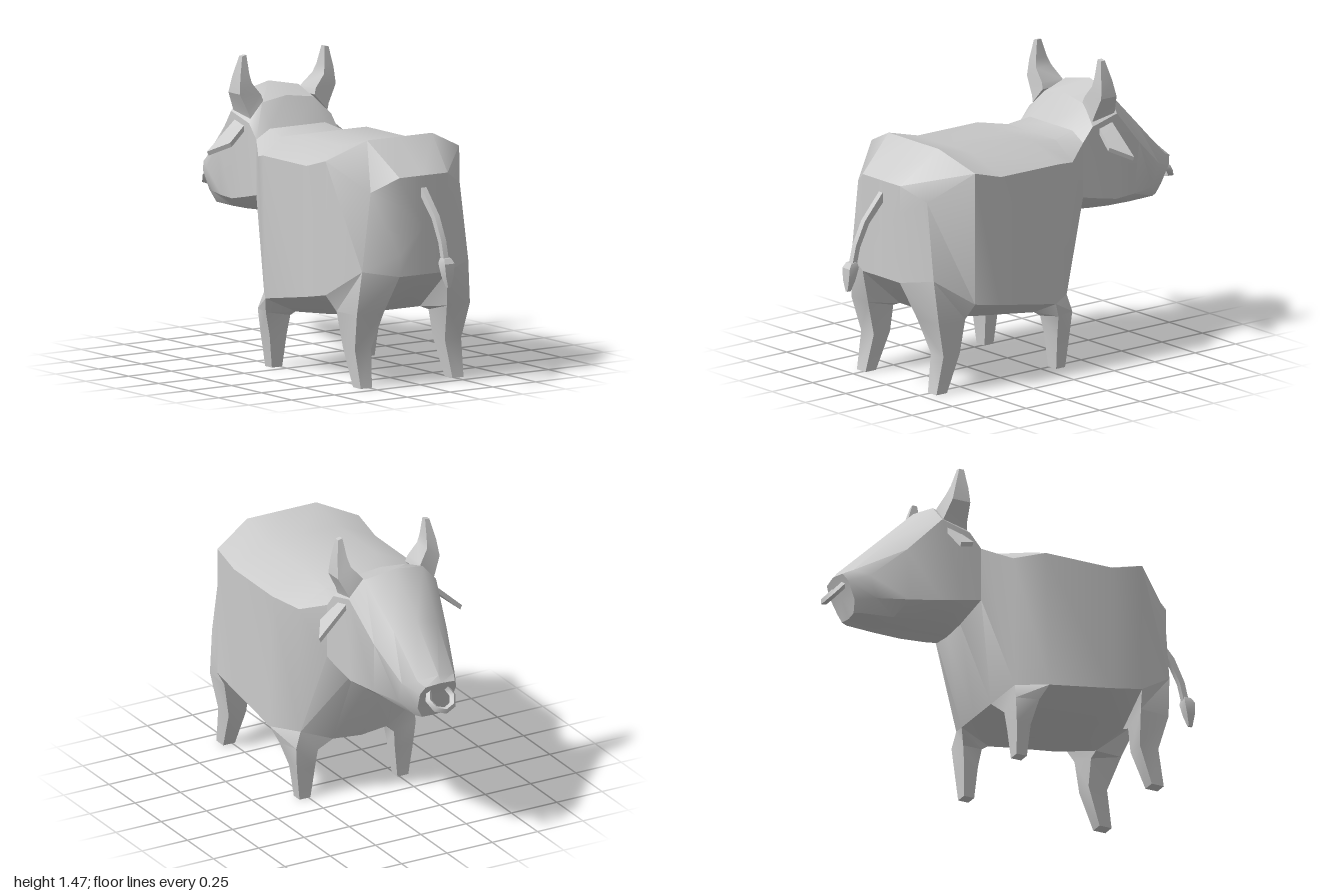
import * as THREE from 'three';
import { toCreasedNormals } from 'three/addons/utils/BufferGeometryUtils.js';

const material = new THREE.MeshStandardMaterial({ color: 0xcccccc });

// Skin a list of closed rings (equal point counts) and cap both ends.
function loft(name, rings, crease = 0.6) {
  const tris = [];
  const n = rings[0].length;
  for (let i = 0; i + 1 < rings.length; i++) {
    for (let j = 0; j < n; j++) {
      const k = (j + 1) % n;
      const [a, b, c, d] = [rings[i][j], rings[i][k], rings[i + 1][k], rings[i + 1][j]];
      tris.push([a, b, c], [a, c, d]);
    }
  }
  const centre = (r) => [0, 1, 2].map((k) => r.reduce((s, p) => s + p[k], 0) / n);
  const first = rings[0], last = rings[rings.length - 1];
  const c0 = centre(first), c1 = centre(last);
  for (let j = 0; j < n; j++) {
    const k = (j + 1) % n;
    tris.push([c0, first[k], first[j]], [c1, last[j], last[k]]);
  }
  // Turn the faces outward whichever way the rings run.
  let volume = 0;
  const [u, v, w] = [new THREE.Vector3(), new THREE.Vector3(), new THREE.Vector3()];
  for (const [a, b, c] of tris) {
    volume += u.fromArray(a).dot(v.fromArray(b).cross(w.fromArray(c)));
  }
  if (volume < 0) tris.forEach((t) => t.reverse());
  const geometry = new THREE.BufferGeometry();
  geometry.setAttribute('position', new THREE.Float32BufferAttribute(tris.flat(2), 3));
  const mesh = new THREE.Mesh(toCreasedNormals(geometry, crease), material);
  mesh.name = name;
  return mesh;
}

const flip = ([x, y, z]) => [-x, y, z];

// Complete a half outline that runs from the top centre to the bottom centre.
const whole = (half) => [...half, ...half.slice(1, -1).reverse().map(flip)];

// Rectangular ring in the horizontal plane.
const rect = (x0, x1, y, z0, z1) => [[x1, y, z0], [x1, y, z1], [x0, y, z1], [x0, y, z0]];

export function createModel() {
  const model = new THREE.Group();
  const addPair = (name, rings, crease) => {
    model.add(loft('left' + name, rings, crease));
    model.add(loft('right' + name, rings.map((r) => r.map(flip)), crease));
  };

  // Half outlines: top centre, top edge, shoulder, lower flank, belly edge, belly centre
  const rump = [[0, 1.02, 0.78], [0.14, 1.02, 0.78], [0.26, 0.95, 0.71],
    [0.31, 0.57, 0.71], [0.14, 0.54, 0.78], [0, 0.54, 0.78]];
  const hip = [[0, 1.18, 0.58], [0.19, 1.18, 0.58], [0.39, 1.09, 0.52],
    [0.39, 0.44, 0.52], [0.14, 0.34, 0.55], [0, 0.34, 0.55]];
  const middle = [[0, 1.13, 0.39], [0.2, 1.13, 0.39], [0.39, 1.045, 0.36],
    [0.39, 0.41, 0.36], [0.18, 0.31, 0.36], [0, 0.3, 0.36]];
  const shoulder = [[0, 1.13, 0.02], [0.2, 1.13, 0.02], [0.39, 1.045, 0],
    [0.39, 0.355, 0.02], [0.2, 0.27, 0], [0, 0.24, 0.02]];
  const chest = [[0, 1.095, -0.15], [0.18, 1.095, -0.15], [0.32, 1.015, -0.14],
    [0.3, 0.36, -0.12], [0.15, 0.31, -0.17], [0, 0.3, -0.18]];
  const neck = [[0, 1.115, -0.27], [0.16, 1.115, -0.27], [0.24, 1.07, -0.27],
    [0.24, 0.8, -0.27], [0.12, 0.71, -0.32], [0, 0.69, -0.33]];
  // Flat panel closing the rear
  const rear = [[0, 1.02, 0.78], [0.14, 1.02, 0.78], [0.14, 0.88, 0.78],
    [0.14, 0.64, 0.78], [0.14, 0.54, 0.78], [0, 0.54, 0.78]];
  model.add(loft('body', [rear, rump, hip, middle, shoulder, chest, neck].map(whole)));

  // Head, from the neck to the muzzle
  model.add(loft('head', [
    neck,
    [[0, 1.25, -0.36], [0.15, 1.23, -0.35], [0.24, 1.14, -0.33],
      [0.24, 0.78, -0.36], [0.12, 0.7, -0.39], [0, 0.69, -0.4]],
    [[0, 1.3, -0.51], [0.16, 1.27, -0.49], [0.24, 1.18, -0.48],
      [0.235, 0.755, -0.48], [0.12, 0.69, -0.52], [0, 0.68, -0.53]],
    [[0, 1.1, -0.715], [0.12, 1.07, -0.7], [0.2, 1, -0.65],
      [0.19, 0.745, -0.63], [0.1, 0.68, -0.67], [0, 0.675, -0.68]],
    [[0, 0.9, -0.92], [0.1, 0.88, -0.89], [0.145, 0.85, -0.82],
      [0.14, 0.74, -0.78], [0.08, 0.675, -0.83], [0, 0.67, -0.85]],
    [[0, 0.87, -0.945], [0.08, 0.86, -0.935], [0.1, 0.82, -0.915],
      [0.09, 0.73, -0.875], [0.06, 0.675, -0.865], [0, 0.67, -0.86]],
  ].map(whole)));

  // Legs grow out of the corners of the belly
  addPair('RearLeg', [
    [rump[3], hip[3], hip[4], rump[4]],
    [[0.33, 0.36, 0.695], [0.34, 0.36, 0.54], [0.19, 0.32, 0.55], [0.185, 0.36, 0.71]],
    rect(0.215, 0.31, 0.185, 0.65, 0.55),
    rect(0.235, 0.3, 0, 0.685, 0.62),
  ]);
  addPair('FrontLeg', [
    [shoulder[3], chest[3], chest[4], shoulder[4]],
    [[0.36, 0.28, -0.02], [0.33, 0.28, -0.13], [0.21, 0.25, -0.13], [0.21, 0.25, -0.03]],
    rect(0.22, 0.32, 0.16, -0.045, -0.12),
    rect(0.24, 0.3, 0, -0.055, -0.11),
  ]);

  // Horns: inner and outer height of each section, curving up
  const hornRing = (xi, yi, xo, yo, z0, z1) =>
    [[xi, yi, z0], [xo, yo, z0], [xo, yo, z1], [xi, yi, z1]];
  addPair('Horn', [
    hornRing(0.15, 1.24, 0.225, 1.16, -0.34, -0.475),
    hornRing(0.16, 1.27, 0.235, 1.19, -0.345, -0.47),
    hornRing(0.21, 1.33, 0.28, 1.28, -0.35, -0.445),
    hornRing(0.22, 1.375, 0.272, 1.36, -0.357, -0.425),
    hornRing(0.228, 1.465, 0.252, 1.46, -0.37, -0.395),
  ], 0.5);

  // Thin ears that droop outward
  const earEdge = [[0.22, 1.16, -0.45], [0.395, 1, -0.46], [0.33, 1.05, -0.36], [0.22, 1.14, -0.375]];
  addPair('Ear', [earEdge, earEdge.map(([x, y, z]) => [x - 0.01, y - 0.02, z])], 0.3);

  // Tail with a tuft
  const tailRing = (r, y, z, slope) =>
    [[-r, y - slope, z - 0.013], [r, y - slope, z - 0.013], [r, y + slope, z + 0.013], [-r, y + slope, z + 0.013]];
  model.add(loft('tail', [
    tailRing(0.014, 0.95, 0.77, 0.012),
    tailRing(0.014, 0.83, 0.88, 0.008),
    tailRing(0.014, 0.72, 0.935, 0.005),
    tailRing(0.014, 0.62, 0.96, 0.003),
  ]));
  model.add(loft('tailTuft', [
    rect(-0.02, 0.02, 0.645, 0.945, 0.98),
    rect(-0.028, 0.028, 0.62, 0.942, 0.998),
    rect(-0.022, 0.022, 0.56, 0.958, 0.999),
    rect(-0.007, 0.007, 0.505, 0.975, 0.995),
  ], 0.5));

  // Nose ring hanging forward
  const ring = new THREE.Mesh(
    toCreasedNormals(new THREE.TorusGeometry(0.066, 0.017, 4, 8), 0.6), material);
  ring.name = 'noseRing';
  ring.position.set(0, 0.79, -0.94);
  ring.rotation.x = 0.735;
  model.add(ring);

  return model;
}
